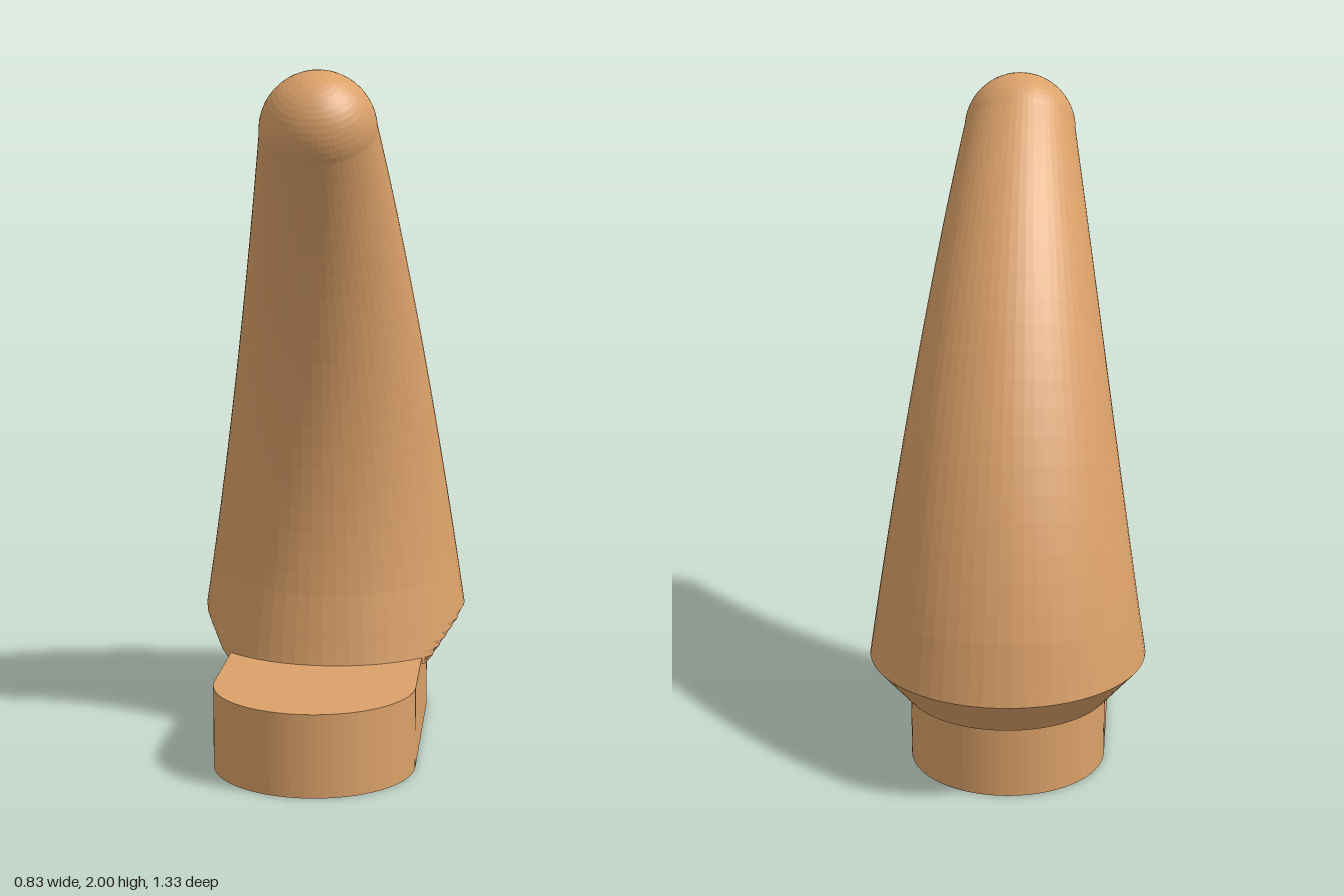
import * as THREE from 'three';

const SIDES = 64, BANDS = 20;
const BASE_TOP = 0.24, BEND = 0.629, ARC = 2.71, TIP_R = 0.17;
const BACK_Z = -0.245, FRONT_Z = 0.37;

// separate the faces so each is evenly lit
function facet(geometry) {
  const flat = geometry.index ? geometry.toNonIndexed() : geometry;
  flat.computeVertexNormals();
  return flat;
}

// slab with round ends, optionally with a hole at each end
function slab(y0, y1, holeRadius) {
  const s = new THREE.Shape();
  s.absarc(0, -BACK_Z, 0.295, 0, Math.PI, false);
  s.absarc(0, -FRONT_Z, 0.295, Math.PI, Math.PI * 2, false);
  s.closePath();
  if (holeRadius) {
    for (const z of [BACK_Z, FRONT_Z]) {
      s.holes.push(new THREE.Path().absarc(0, -z, holeRadius, 0, Math.PI * 2, true));
    }
  }
  const g = new THREE.ExtrudeGeometry(s, { depth: y1 - y0, bevelEnabled: false, curveSegments: 24 });
  return g.rotateX(-Math.PI / 2).translate(0, y0, 0);
}

// centre of the horn at a bend angle, along a circular arc
const centre = (a) => new THREE.Vector3(0, BASE_TOP + ARC * Math.sin(a), -0.25 + ARC * (1 - Math.cos(a)));
const radiusAt = (a) => THREE.MathUtils.lerp(0.43, TIP_R, Math.max(a, 0) / BEND);

function hornGeometry() {
  const rings = [];
  // level rings, trimmed by a chamfer that follows the round-ended base
  for (let i = 0; i <= 6; i++) {
    const y = 0.22 + i * 0.02, w = 0.31 + (y - 0.22) * 0.875;
    const a = Math.asin(Math.max(0, y - BASE_TOP) / ARC);
    const c = centre(a), r = radiusAt(a), ring = [];
    for (let j = 0; j < SIDES; j++) {
      const p = (j / SIDES) * Math.PI * 2;
      const back = Math.sin(p) < 0;
      const rr = back ? Math.min(r, w) : r;
      const x = THREE.MathUtils.clamp(rr * Math.cos(p), -w, w);
      ring.push(new THREE.Vector3(x, y, c.z + rr * Math.sin(p)));
    }
    rings.push(ring);
  }
  // tilted, tapering rings up the bend
  const start = 0.09;
  for (let i = 0; i <= BANDS; i++) {
    const a = start + (BEND - start) * (i / BANDS);
    const c = centre(a), r = radiusAt(a), ring = [];
    for (let j = 0; j < SIDES; j++) {
      const p = (j / SIDES) * Math.PI * 2, d = r * Math.sin(p);
      ring.push(new THREE.Vector3(r * Math.cos(p), c.y - d * Math.sin(a), c.z + d * Math.cos(a)));
    }
    rings.push(ring);
  }
  const pos = [], idx = [];
  for (const ring of rings) for (const v of ring) pos.push(v.x, v.y, v.z);
  for (let i = 0; i < rings.length - 1; i++) {
    for (let j = 0; j < SIDES; j++) {
      const k = (j + 1) % SIDES;
      const a = i * SIDES + j, b = i * SIDES + k, d = a + SIDES, c = b + SIDES;
      idx.push(a, d, c, a, c, b);
    }
  }
  // underside
  const hub = pos.length / 3;
  pos.push(0, 0.22, -0.25);
  for (let j = 0; j < SIDES; j++) idx.push(hub, j, (j + 1) % SIDES);
  const g = new THREE.BufferGeometry();
  g.setAttribute('position', new THREE.Float32BufferAttribute(pos, 3));
  g.setIndex(idx);
  return facet(g);
}

export function createModel() {
  const model = new THREE.Group();
  model.name = 'curvedHornOnBase';
  const tan = new THREE.MeshStandardMaterial({ color: 0xdba169 });
  tan.name = 'tan';
  const add = (name, geometry) => {
    const m = new THREE.Mesh(geometry, tan);
    m.name = name;
    model.add(m);
    return m;
  };

  // base with two blind sockets opening downward
  add('baseWithSockets', slab(0, 0.15, 0.164));
  add('baseTop', slab(0.15, BASE_TOP, 0));

  add('horn', hornGeometry());

  // rounded end
  const tip = add('hornTip', facet(new THREE.SphereGeometry(TIP_R, SIDES, 14, 0, Math.PI * 2, 0, Math.PI / 2)));
  tip.position.copy(centre(BEND));
  tip.rotation.x = BEND;

  return model;
}
